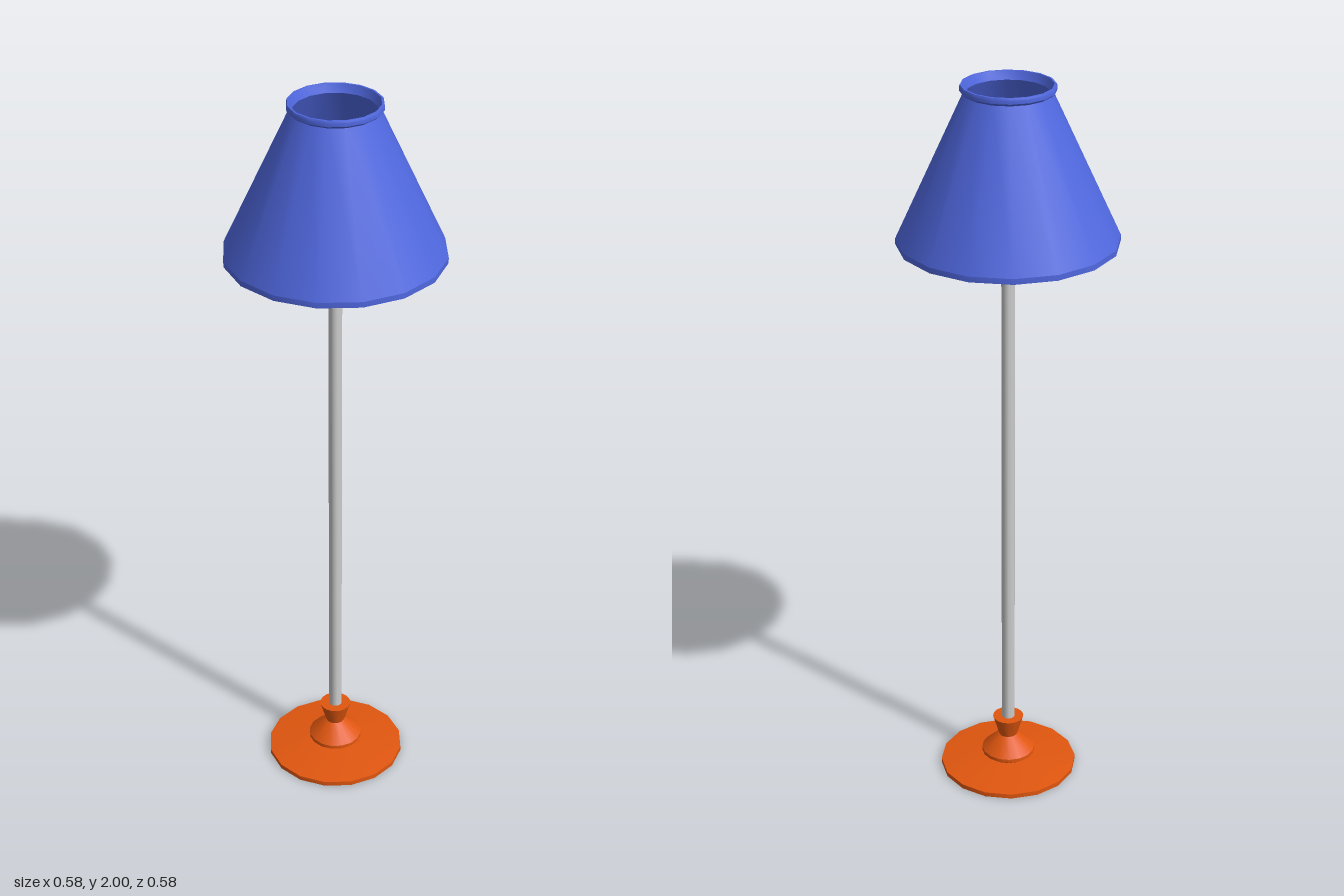
import * as THREE from 'three';
import { toCreasedNormals } from 'three/addons/utils/BufferGeometryUtils.js';

const SIDES = 16;

// Turned part from [radius, height] pairs, with crisp edges between profile bands
function turned(name, profile, color) {
  const points = profile.map(([r, y]) => new THREE.Vector2(r, y));
  const geometry = toCreasedNormals(new THREE.LatheGeometry(points, SIDES), THREE.MathUtils.degToRad(24));
  const mesh = new THREE.Mesh(geometry, new THREE.MeshStandardMaterial({ color, side: THREE.DoubleSide }));
  mesh.name = name;
  return mesh;
}

export function createModel() {
  const lamp = new THREE.Group();
  lamp.name = 'floorLamp';
  const orange = 0xe0560f;

  // Thin, slightly domed foot plate
  lamp.add(turned('footPlate', [[0, 0], [0.19, 0], [0.19, 0.013], [0.05, 0.03], [0, 0.03]], orange));

  // Stepped collar with a narrow waist and flared cup
  lamp.add(turned('baseCollar', [
    [0, 0.028], [0.058, 0.028], [0.074, 0.04], [0.074, 0.05],
    [0.03, 0.092], [0.026, 0.095], [0.043, 0.152], [0, 0.152],
  ], orange));

  // Hollow pole, ending inside the shade
  lamp.add(turned('pole', [[0.018, 0.14], [0.018, 1.8]], 0xcccccc));

  // Thin-walled conical shade with a small flared rim, open at both ends
  lamp.add(turned('shade', [
    [0.288, 1.583], [0.288, 1.598], [0.113, 1.978], [0.122, 1.985], [0.122, 1.995], [0.12, 2],
    [0.115, 2], [0.106, 1.978], [0.281, 1.598], [0.281, 1.583], [0.288, 1.583],
  ], 0x5068e0));

  return lamp;
}
